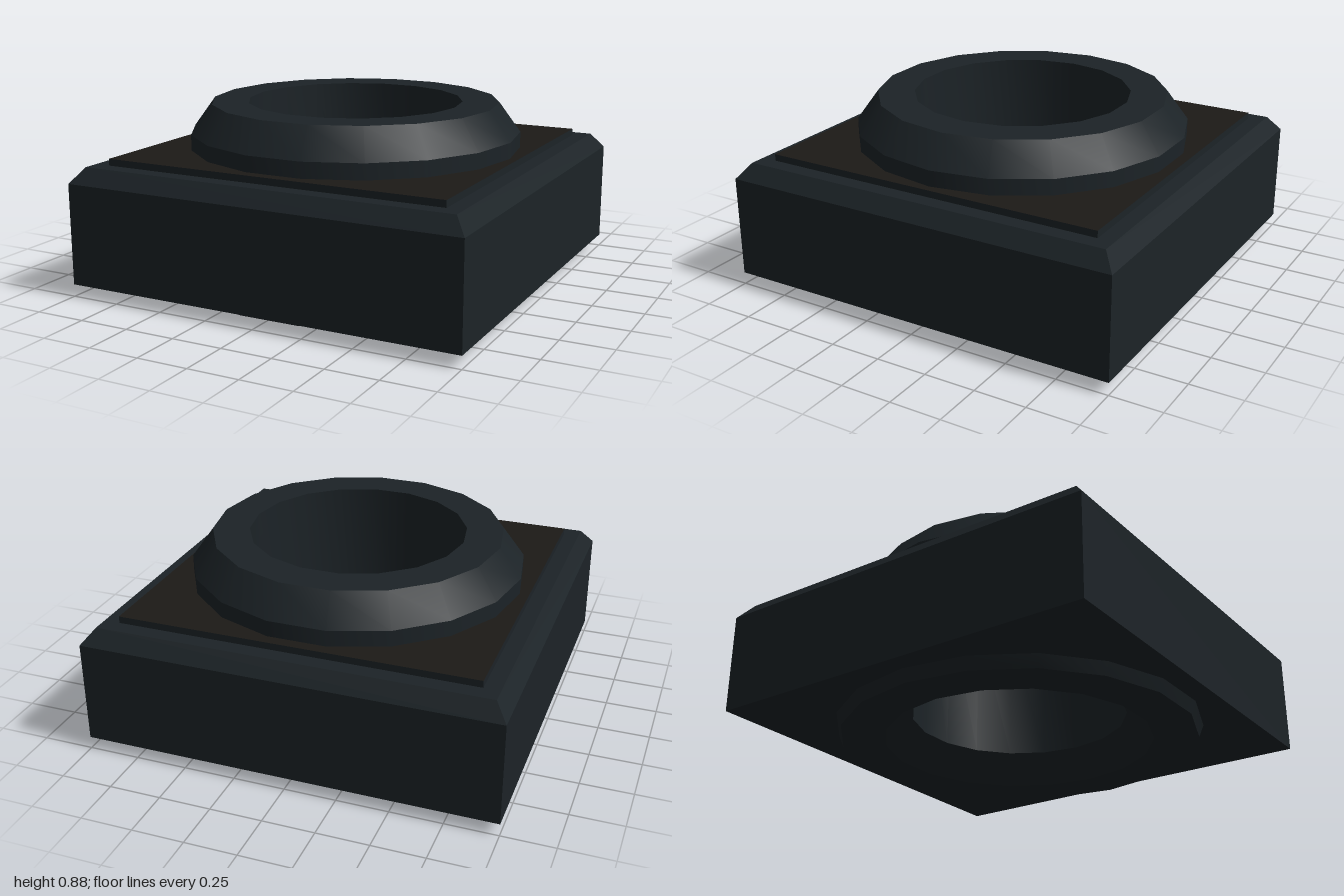
import * as THREE from 'three';
import { toCreasedNormals } from 'three/addons/utils/BufferGeometryUtils.js';

const darkSteel = new THREE.MeshStandardMaterial({ color: 0x1c2327 });
const darkSteelFlat = new THREE.MeshStandardMaterial({ color: 0x1c2327, flatShading: true });
const darkBronze = new THREE.MeshStandardMaterial({ color: 0x1c1a17, flatShading: true });

const toPoints = (profile, scale = 1) => profile.map(([r, y]) => new THREE.Vector2(r * scale, y));

// Square ring: the profile gives half-widths, swept around four sides
function squareRing(name, profile, material) {
  const geometry = new THREE.LatheGeometry(toPoints(profile, Math.SQRT2), 4, Math.PI / 4);
  const mesh = new THREE.Mesh(geometry, material);
  mesh.name = name;
  return mesh;
}

// Round 18-sided ring, smooth around and sharp at the profile corners
function roundRing(name, profile, material) {
  const geometry = new THREE.LatheGeometry(toPoints(profile), 18, Math.PI / 2);
  const mesh = new THREE.Mesh(toCreasedNormals(geometry, 0.5), material);
  mesh.name = name;
  return mesh;
}

export function createModel() {
  const model = new THREE.Group();
  model.name = 'flangedBlock';

  // Square body with a chamfered top edge
  model.add(squareRing('squareBody', [
    [0.62, 0.06], [1, 0.06], [1, 0.555], [0.94, 0.63], [0.62, 0.63],
  ], darkSteelFlat));

  // Thin raised plate: steel edge and bronze face
  model.add(squareRing('plateEdge', [[0.863, 0.63], [0.863, 0.663]], darkSteelFlat));
  model.add(squareRing('plateFace', [[0.863, 0.663], [0.57, 0.663]], darkBronze));

  // Hollow collar through the block, with a flange below and a flared bore
  const collar = roundRing('collar', [
    [0.533, 0.14], [0.66, 0], [0.878, 0], [0.902, 0.06], [0.82, 0.1],
    [0.82, 0.74], [0.714, 0.885], [0.533, 0.885], [0.533, 0.14],
  ], darkSteel);
  collar.position.x = 0.003;
  model.add(collar);

  return model;
}
